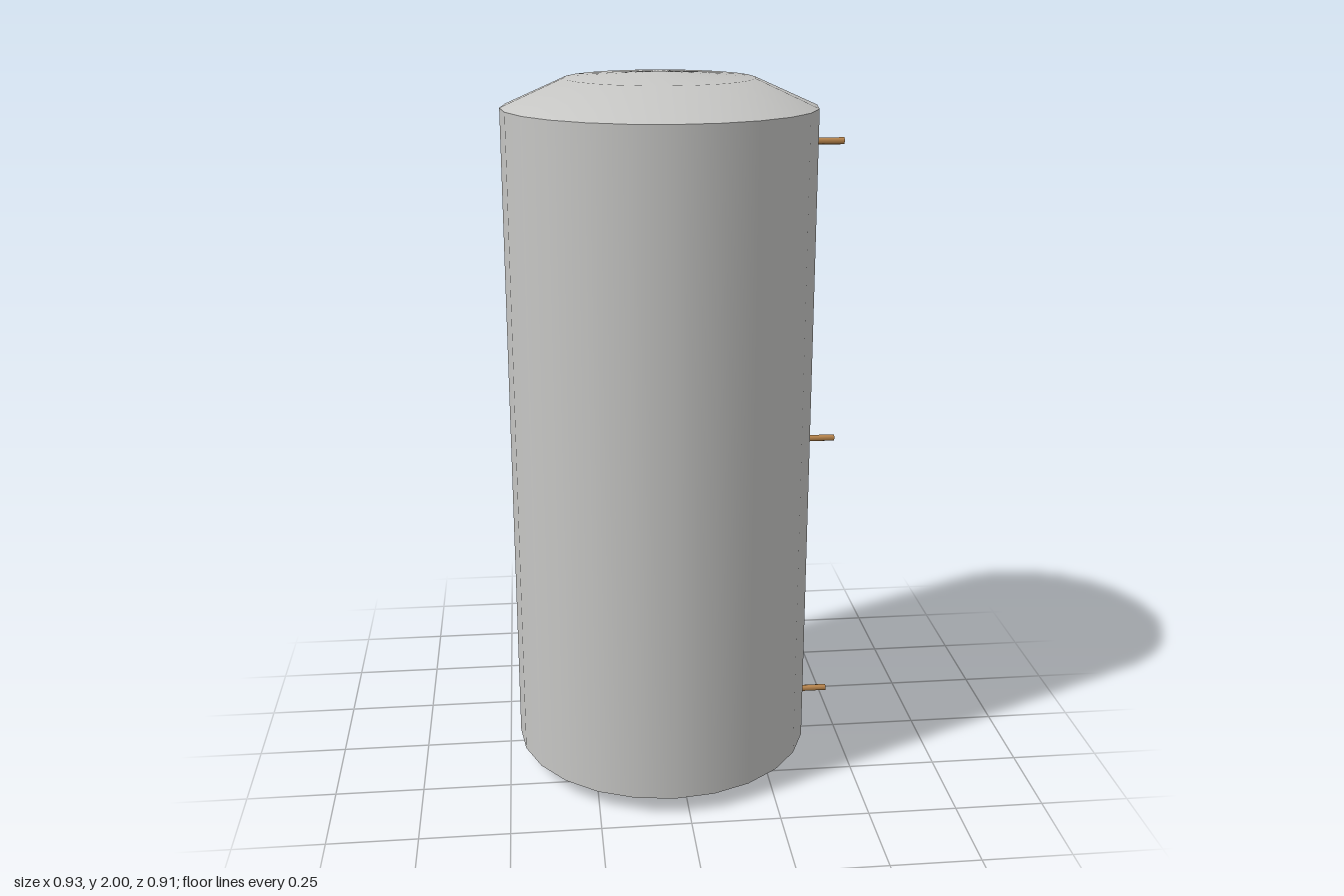
import * as THREE from 'three';

const CX = -0.04, CZ = 0.022, R = 0.428, SIDES = 24;

export function createModel() {
  const model = new THREE.Group();
  model.name = 'storageTank';

  const casing = new THREE.MeshStandardMaterial({ name: 'tank grey', color: 0xc6c6c4 });
  const plastic = new THREE.MeshStandardMaterial({ name: 'box grey', color: 0xbebebe });
  const copper = new THREE.MeshStandardMaterial({ name: 'copper', color: 0xb8844a });

  const add = (name, geometry, material, x, y, z) => {
    const mesh = new THREE.Mesh(geometry, material);
    mesh.name = name;
    mesh.position.set(x, y, z);
    model.add(mesh);
    return mesh;
  };
  // Profiles run from bottom to top so the faces point outwards
  const turned = (...points) =>
    new THREE.LatheGeometry(points.map(([r, y]) => new THREE.Vector2(r, y)), SIDES);

  // Tank: separate shells keep the rims sharp
  add('bottomCap', turned([0, 0], [R * 0.6, 0.003], [R, 0.05]), casing, CX, 0, CZ);
  add('tankWall', turned([R, 0.05], [R, 1.908]), casing, CX, 0, CZ);
  add('topDome', turned([R, 1.908], [R * 0.6, 1.984], [0, 2]), casing, CX, 0, CZ);

  // Copper connection stubs on the left side
  for (const [name, y] of [['lowerPipe', 0.145], ['middlePipe', 0.955], ['upperPipe', 1.81]]) {
    const pipe = add(name, new THREE.CylinderGeometry(0.0095, 0.0095, 0.09, 8), copper, 0.421, y, CZ);
    pipe.rotation.z = -Math.PI / 2;
  }

  // Control box low on the back
  add('controlBox', new THREE.BoxGeometry(0.096, 0.128, 0.07), plastic, CX, 0.386, -0.42);

  return model;
}
